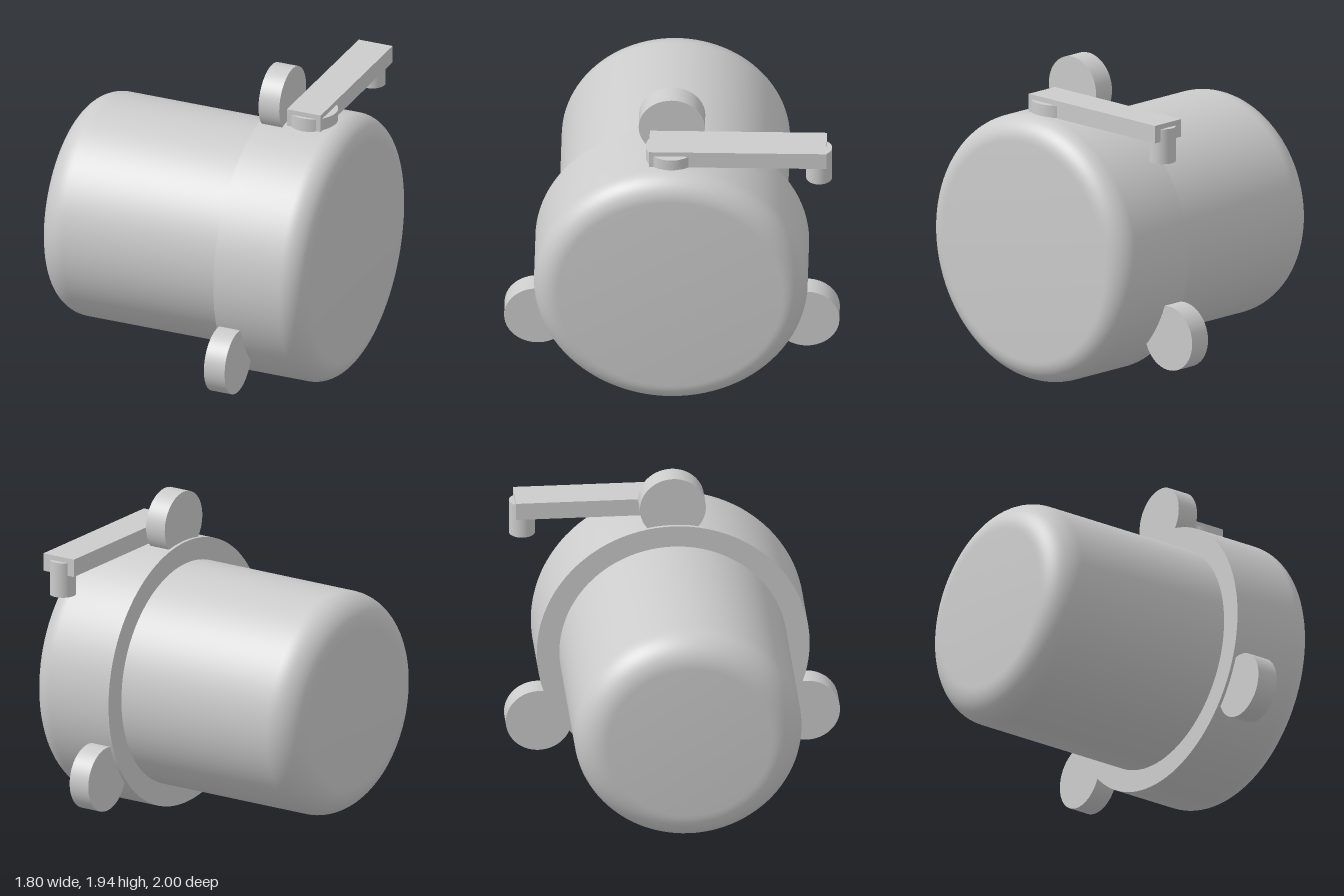
import * as THREE from 'three';
import { toCreasedNormals } from 'three/addons/utils/BufferGeometryUtils.js';

const AXIS_Y = 0.815;

export function createModel() {
  const model = new THREE.Group();
  const material = new THREE.MeshStandardMaterial({ color: 0xcccccc });

  function add(name, geometry, x, y, z) {
    const mesh = new THREE.Mesh(geometry, material);
    mesh.name = name;
    mesh.position.set(x, y, z);
    model.add(mesh);
    return mesh;
  }

  // Solid drum along x with one rounded rim, facing +x (dir 1) or -x (dir -1)
  function drum(radius, length, fillet, dir) {
    const points = [new THREE.Vector2(0, 0), new THREE.Vector2(radius, 0)];
    for (let i = 0; i <= 12; i++) {
      const a = (i / 12) * Math.PI / 2;
      points.push(new THREE.Vector2(
        radius - fillet + fillet * Math.cos(a),
        length - fillet + fillet * Math.sin(a)));
    }
    points.push(new THREE.Vector2(0, length));
    const lathe = new THREE.LatheGeometry(points, 96).rotateZ(-dir * Math.PI / 2);
    return toCreasedNormals(lathe, 0.6);
  }

  // Main canister and wider cover
  add('canister', drum(0.68, 1.24, 0.19, -1), 0.34, AXIS_Y, 0);
  add('cover', drum(0.815, 0.57, 0.145, 1), 0.33, AXIS_Y, 0);

  // Three round mounting lugs spaced evenly around the cover
  for (let i = 0; i < 3; i++) {
    const a = Math.PI / 2 + (i * Math.PI * 2) / 3;
    const lug = new THREE.CylinderGeometry(0.197, 0.197, 0.135, 64).rotateZ(Math.PI / 2);
    add('mountingLug' + (i + 1), lug, 0.4175,
      AXIS_Y + 0.925 * Math.sin(a), 0.925 * Math.cos(a));
  }

  // Lever: pivot on top of the cover, flat arm to the rear, pin hanging at its end
  add('leverPivot', new THREE.CylinderGeometry(0.152, 0.152, 0.09, 64), 0.615, 1.655, 0);
  add('leverArm', new THREE.BoxGeometry(0.22, 0.108, 1.055), 0.615, 1.676, -0.3975);
  add('leverPin', new THREE.CylinderGeometry(0.078, 0.078, 0.215, 48), 0.615, 1.5925, -0.88);

  return model;
}
